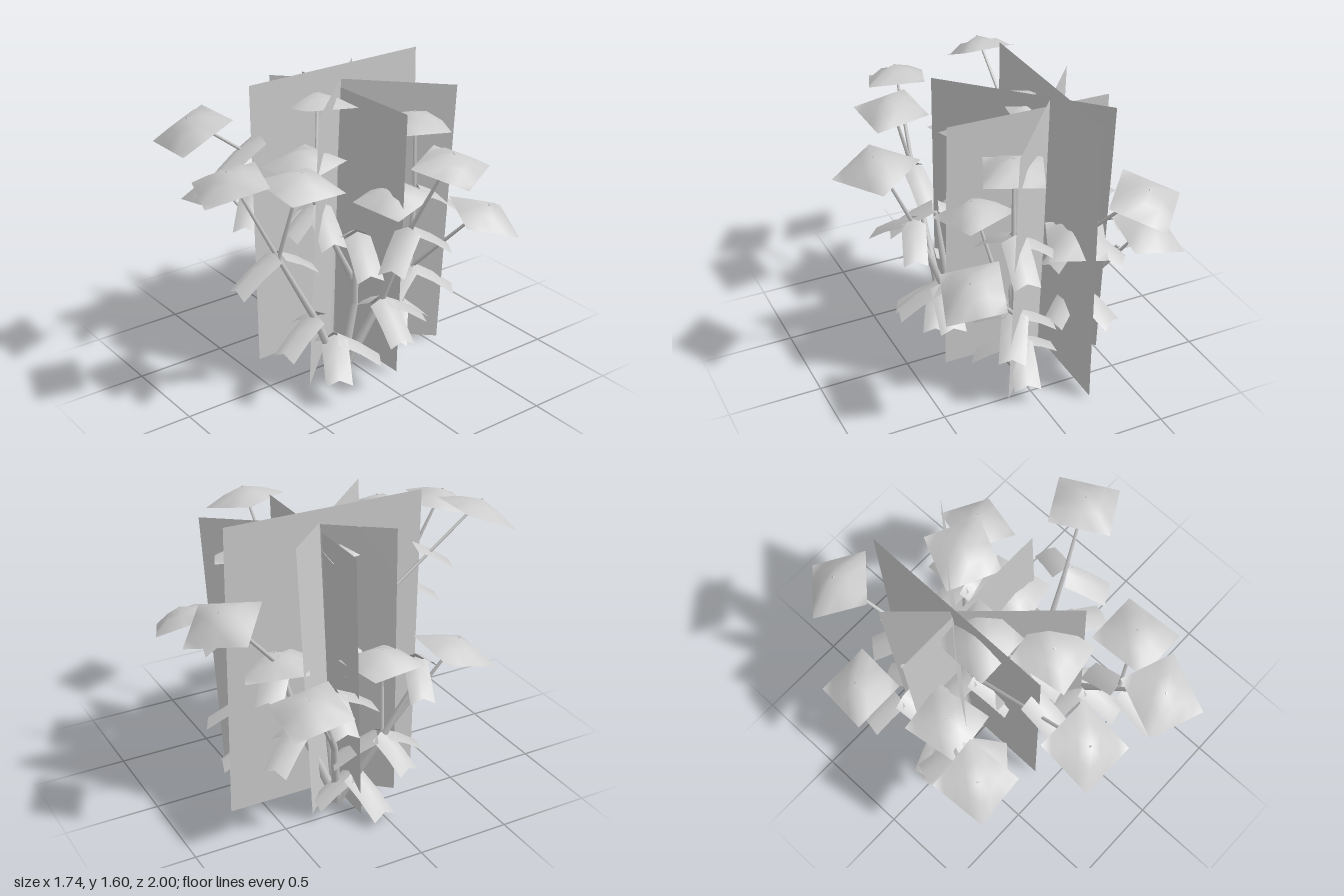
import * as THREE from 'three';

const mat = new THREE.MeshStandardMaterial({ color: 0xcccccc, side: THREE.DoubleSide });
const V = (p) => new THREE.Vector3(...p);
const UP = new THREE.Vector3(0, 1, 0);

function add(parent, name, geometry) {
  const mesh = new THREE.Mesh(geometry, mat);
  mesh.name = name;
  parent.add(mesh);
  return mesh;
}

// Flat upright card from four corners
function card(parent, corners) {
  const g = new THREE.BufferGeometry();
  g.setAttribute('position', new THREE.Float32BufferAttribute(corners.flat(), 3));
  g.setIndex([0, 1, 2, 0, 2, 3]);
  g.computeVertexNormals();
  add(parent, 'foliageCard', g);
}

// Tapering stem piece between two points
function stem(parent, from, to, r0, r1) {
  const a = V(from), d = V(to).sub(a);
  const m = add(parent, 'stem', new THREE.CylinderGeometry(r1, r0, d.length(), 6));
  m.position.copy(a).addScaledVector(d, 0.5);
  m.quaternion.setFromUnitVectors(UP, d.normalize());
}

// Square canopy: a soft pyramid with a flat rim, leaning with its stem
function canopy(parent, centre, yaw, from) {
  const g = new THREE.PlaneGeometry(0.3, 0.32, 4, 4).rotateX(-Math.PI / 2);
  const p = g.attributes.position;
  for (let i = 0; i < p.count; i++) {
    const rim = Math.max(Math.abs(p.getX(i)) / 0.15, Math.abs(p.getZ(i)) / 0.16);
    p.setY(i, -0.08 * rim ** 1.4);
  }
  g.rotateY(-THREE.MathUtils.degToRad(yaw));
  g.computeVertexNormals();
  const lean = V(centre).sub(V(from)).setY(0).multiplyScalar(0.9).clampLength(0, 0.45);
  const m = add(parent, 'canopy', g);
  m.position.set(...centre);
  m.quaternion.setFromUnitVectors(UP, lean.add(UP).normalize());
}

// Sloping leaf folded along its midrib, growing outwards at an angle
function leaf(parent, at, degrees, size) {
  const g = new THREE.PlaneGeometry(0.13, 0.21, 2, 2).rotateX(-Math.PI / 2);
  const p = g.attributes.position;
  for (let i = 0; i < p.count; i++) {
    const x = p.getX(i), out = p.getZ(i) + 0.105;
    p.setXYZ(i, x, 0.015 - Math.abs(x) * 0.5 - 0.45 * out - 0.9 * out * out, out + 0.015);
  }
  g.computeVertexNormals();
  const m = add(parent, 'leaf', g);
  m.position.set(...at);
  m.rotation.y = Math.PI / 2 - THREE.MathUtils.degToRad(degrees);
  m.scale.setScalar(size);
}

export function createModel() {
  const model = new THREE.Group();
  const group = (name) => {
    const g = new THREE.Group();
    g.name = name;
    model.add(g);
    return g;
  };

  // Four crossing cards
  const cards = group('crossedCards');
  card(cards, [[-0.59, 0.015, -0.11], [0.32, 0.02, -0.11], [0.31, 1.48, -0.16], [-0.6, 1.47, -0.16]]);
  card(cards, [[-0.25, 0.01, 0.4], [-0.25, 0.015, -0.69], [-0.255, 1.6, -0.68], [-0.255, 1.595, 0.41]]);
  card(cards, [[-0.485, 0.03, 0.15], [0.15, 0.02, -0.54], [0.15, 1.5, -0.63], [-0.505, 1.53, 0.12]]);
  card(cards, [[-0.49, 0.03, -0.34], [0.17, 0.03, 0.36], [0.19, 1.525, 0.3], [-0.49, 1.53, -0.42]]);

  // Stem routes: points from the root upwards
  const stems = group('stems');
  const routes = [
    [[0.19, 0.04, 0.17], [0.2, 0.42, 0.33], [0.2, 0.85, 0.56]],
    [[0.19, 0.04, 0.17], [0.22, 0.47, 0.1], [0.26, 0.84, 0.12]],
    [[0.19, 0.04, 0.17], [0.29, 0.47, -0.02], [0.46, 0.92, -0.06]],
    [[-0.02, 0.01, -0.33], [0.05, 0.45, -0.41], [0.07, 0.92, -0.42]],
    [[-0.02, 0.01, -0.33], [-0.08, 0.45, -0.1], [-0.05, 0.92, 0.15]],
    [[-0.42, 0.02, -0.16], [-0.55, 0.42, 0.03], [-0.61, 0.72, 0.18]],
    [[-0.42, 0.02, -0.16], [-0.5, 0.4, -0.22], [-0.6, 0.65, -0.33]],
    [[-0.42, 0.02, -0.16], [-0.34, 0.45, -0.32], [-0.3, 0.83, -0.42]],
    [[-0.42, 0.02, -0.16], [-0.32, 0.45, -0.16], [-0.27, 0.87, -0.05]],
  ];
  for (const [a, b, c] of routes) {
    stem(stems, a, b, 0.028, 0.02);
    stem(stems, b, c, 0.02, 0.012);
  }

  // Canopies: centre, turn in degrees, and the joint their twig leaves from
  const canopies = group('canopies');
  const heads = [
    [[0.18, 1.38, 0.83], 20, [0.2, 0.85, 0.56]],
    [[0.345, 1.35, 0.51], -2, [0.2, 0.85, 0.56]],
    [[0.69, 1.4, -0.14], -30, [0.46, 0.92, -0.06]],
    [[0.07, 1.38, -0.41], 25, [0.07, 0.92, -0.42]],
    [[0.42, 0.9, -0.65], 20, [0.05, 0.45, -0.41]],
    [[0.19, 1.05, -0.18], -14, [0.05, 0.45, -0.3]],
    [[0.01, 1.3, 0.27], -10, [-0.05, 0.92, 0.15]],
    [[-0.25, 1.48, -0.01], 2, [-0.05, 0.92, 0.15]],
    [[-0.29, 1.49, 0.76], 0, [-0.27, 0.87, -0.05]],
    [[-0.68, 0.96, 0.39], -5, [-0.55, 0.42, 0.03]],
    [[-0.535, 0.92, 0.03], -8, [-0.55, 0.42, 0.03]],
    [[-0.71, 0.85, -0.47], 4, [-0.5, 0.4, -0.22]],
    [[-0.28, 0.9, -0.44], 24, [-0.34, 0.45, -0.32]],
    [[-0.46, 1.28, -0.81], 41, [-0.3, 0.83, -0.42]],
  ];
  for (const [centre, yaw, from] of heads) {
    stem(stems, from, centre, 0.012, 0.007);
    canopy(canopies, centre, yaw, from);
  }

  // Leaf whorls: joint, then the outward angles (0 = +x, 90 = +z)
  const leaves = group('leaves');
  const whorls = [
    [[0.2, 0.3, 0.22], 30, 185, 300],
    [[0.2, 0.46, 0.33], 80, 190],
    [[0.29, 0.48, -0.02], 10, 190, 280],
    [[0.2, 0.88, 0.57], 90, 270],
    [[0.46, 0.94, -0.06], 60, 290],
    [[0.26, 0.89, 0.12], 20, 200],
    [[0, 0.25, -0.36], 40, 170, 285],
    [[0.05, 0.47, -0.41], 70, 180, 300],
    [[0.07, 0.94, -0.42], 80, 190, 280],
    [[-0.05, 0.95, 0.14], 15, 80, 190],
    [[-0.27, 0.91, -0.04], 80, 190],
    [[-0.26, 1.31, 0.34], 90],
    [[-0.54, 0.44, 0.02], 80, 165, 290],
    [[-0.47, 0.2, -0.1], 165, 270],
    [[-0.6, 0.86, 0.18], 45, 200],
    [[-0.58, 0.77, -0.27], 80, 190],
    [[-0.34, 0.47, -0.33], 240, 330],
    [[-0.3, 0.88, -0.42], 220, 340],
  ];
  for (const [at, ...angles] of whorls) {
    angles.forEach((a, i) => leaf(leaves, at, a, i % 2 ? 0.95 : 1.08));
  }
  return model;
}
